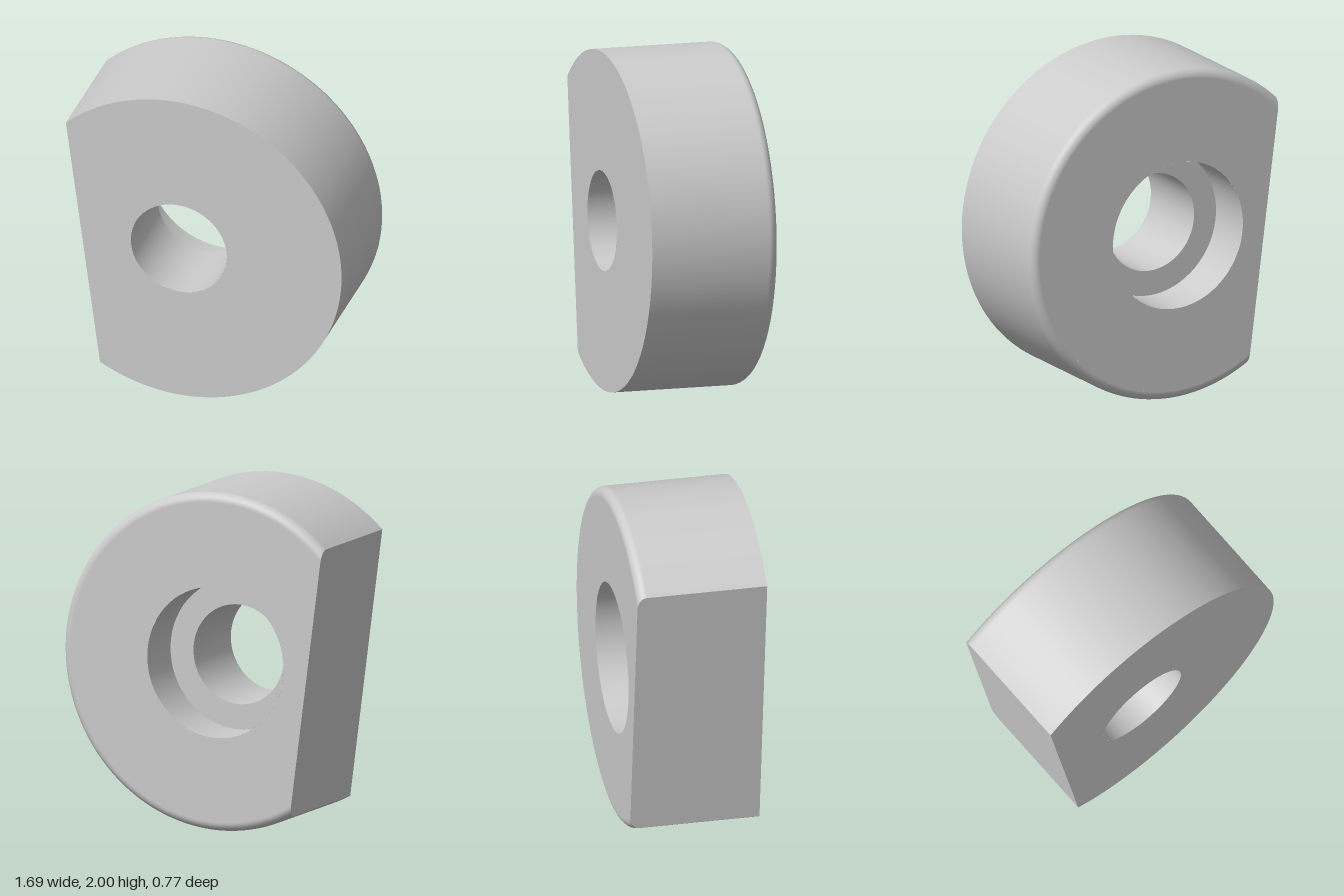
import * as THREE from 'three';
import { ParametricGeometry } from 'three/addons/geometries/ParametricGeometry.js';

const R = 1;          // disc radius
const H = 0.385;      // half thickness
const FLAT = 0.595;   // distance from the axis to the flat
const FILLET = 0.055; // rounded back edge
const BORE = 0.295;
const RECESS = 0.445;
const STEP_Z = -H + 0.295;

// Half angle of the arc left after the flat cuts a circle of radius r
const arcEnd = (r) => Math.PI - Math.acos(FLAT / r);

// Rim profile: v 0..0.5 rounds the back edge, 0.5..1 runs straight to the front
function rimProfile(v) {
  if (v < 0.5) {
    const a = v * Math.PI;
    return [R - FILLET + FILLET * Math.sin(a), -H + FILLET - FILLET * Math.cos(a)];
  }
  return [R, THREE.MathUtils.lerp(-H + FILLET, H, (v - 0.5) * 2)];
}

// Circular face cut by the flat, with a round hole
function faceGeometry(r, hole) {
  const shape = new THREE.Shape();
  shape.absarc(0, 0, r, -arcEnd(r), arcEnd(r), false);
  const path = new THREE.Path();
  path.absarc(0, 0, hole, 0, Math.PI * 2, true);
  shape.holes.push(path);
  return new THREE.ShapeGeometry(shape, 64);
}

export function createModel() {
  const group = new THREE.Group();
  group.name = 'flattedDisc';
  const material = new THREE.MeshStandardMaterial({ color: 0xcccccc });
  const inner = new THREE.MeshStandardMaterial({ color: 0xcccccc, side: THREE.DoubleSide });

  const body = new THREE.Group();
  body.name = 'discBody';
  body.position.set(-0.155, 1, 0);
  body.rotation.z = THREE.MathUtils.degToRad(7.5);
  group.add(body);

  const add = (name, geometry, mat = material) => {
    const mesh = new THREE.Mesh(geometry, mat);
    mesh.name = name;
    body.add(mesh);
    return mesh;
  };

  // Round rim with its rounded back edge
  add('rim', new ParametricGeometry((u, v, target) => {
    const [r, z] = rimProfile(v);
    const a = (u * 2 - 1) * arcEnd(r);
    target.set(r * Math.cos(a), r * Math.sin(a), z);
  }, 96, 16));

  // Front and back faces
  add('frontFace', faceGeometry(R, BORE)).position.z = H;
  const back = add('backFace', faceGeometry(R - FILLET, RECESS));
  back.rotation.x = Math.PI;
  back.position.z = -H;

  // Flat side, following the rim profile at both ends
  const side = [];
  for (let i = 0; i <= 16; i++) {
    const [r, z] = rimProfile(i / 16);
    side.push(new THREE.Vector2(Math.sqrt(r * r - FLAT * FLAT), z));
  }
  const mirrored = side.map((p) => new THREE.Vector2(-p.x, p.y)).reverse();
  const flat = new THREE.ShapeGeometry(new THREE.Shape([...side, ...mirrored]));
  flat.applyMatrix4(new THREE.Matrix4().makeBasis(
    new THREE.Vector3(0, -1, 0), new THREE.Vector3(0, 0, 1), new THREE.Vector3(-1, 0, 0),
  ).setPosition(-FLAT, 0, 0));
  add('flatSide', flat);

  // Stepped hole: narrow bore, shoulder and wide recess at the back
  const holeWall = (name, r0, z0, r1, z1) => add(name, new THREE.LatheGeometry(
    [new THREE.Vector2(r0, z0), new THREE.Vector2(r1, z1)], 64,
  ).rotateX(Math.PI / 2), inner);
  holeWall('bore', BORE, H, BORE, STEP_Z);
  holeWall('shoulder', BORE, STEP_Z, RECESS, STEP_Z);
  holeWall('recess', RECESS, STEP_Z, RECESS, -H);

  return group;
}
